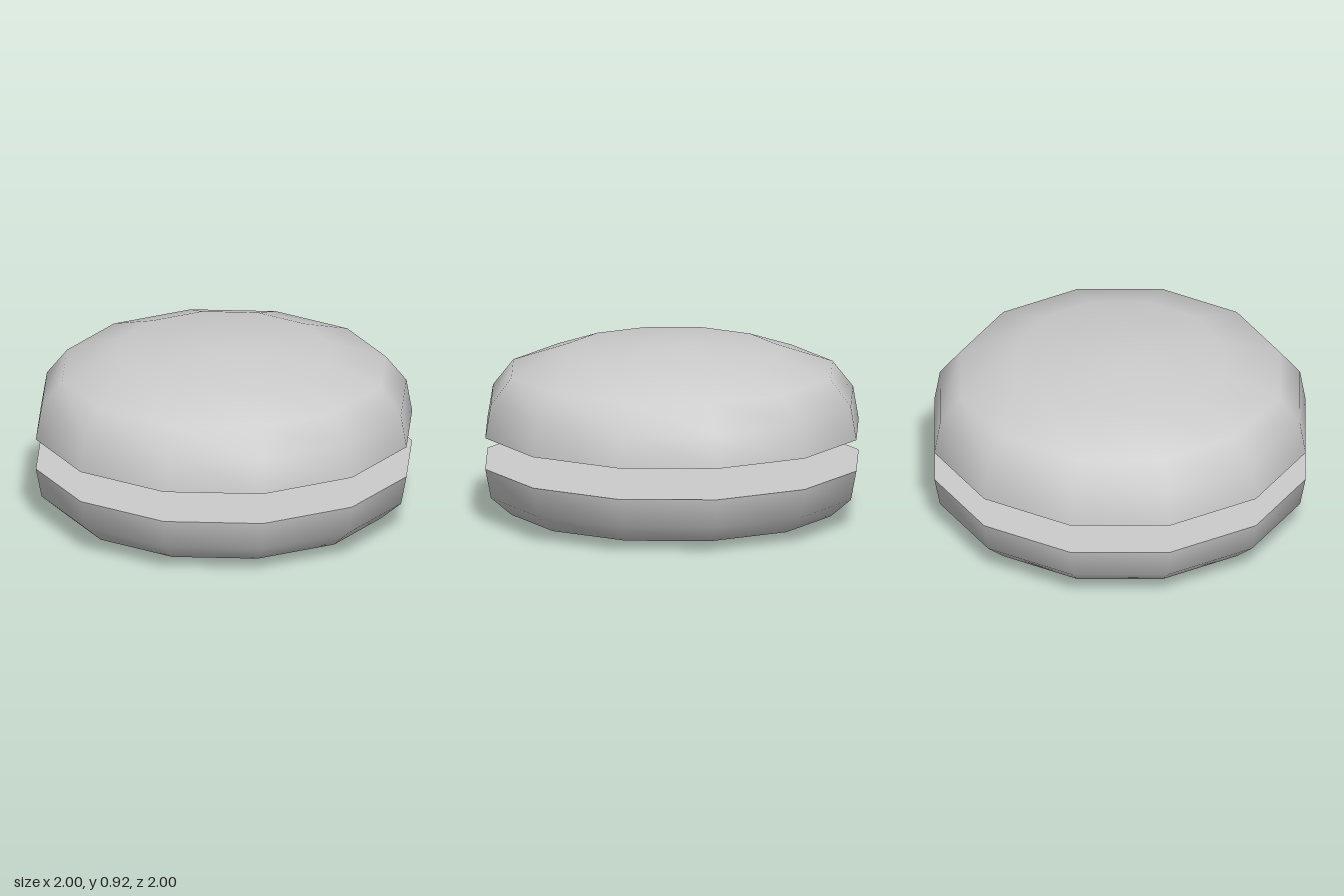
import * as THREE from 'three';

const SIDES = 12;
const material = new THREE.MeshStandardMaterial({ color: 0xcccccc });

// Smooth twelve-sided shell with a flat cut face; profile runs bottom to top
function makeBun(name, profile, cutY, cutFacesUp) {
  const bun = new THREE.Group();
  bun.name = name;

  const points = profile.map(([r, y]) => new THREE.Vector2(r, y));
  const shell = new THREE.Mesh(new THREE.LatheGeometry(points, SIDES), material);
  shell.name = name + 'Shell';

  const cut = new THREE.Mesh(new THREE.CircleGeometry(1, SIDES), material);
  cut.name = name + 'CutFace';
  cut.rotation.x = cutFacesUp ? -Math.PI / 2 : Math.PI / 2;
  cut.position.y = cutY;

  bun.add(shell, cut);
  return bun;
}

export function createModel() {
  const model = new THREE.Group();
  model.name = 'bun';

  // Shallow base half
  model.add(makeBun('bottomBun',
    [[0, 0], [0.61, 0.003], [0.86, 0.045], [0.97, 0.14], [1, 0.295]], 0.295, true));

  // Domed top half, floating above an open gap
  model.add(makeBun('topBun',
    [[1, 0.46], [0.97, 0.635], [0.86, 0.775], [0.56, 0.88], [0.14, 0.92], [0, 0.92]], 0.46, false));

  return model;
}
